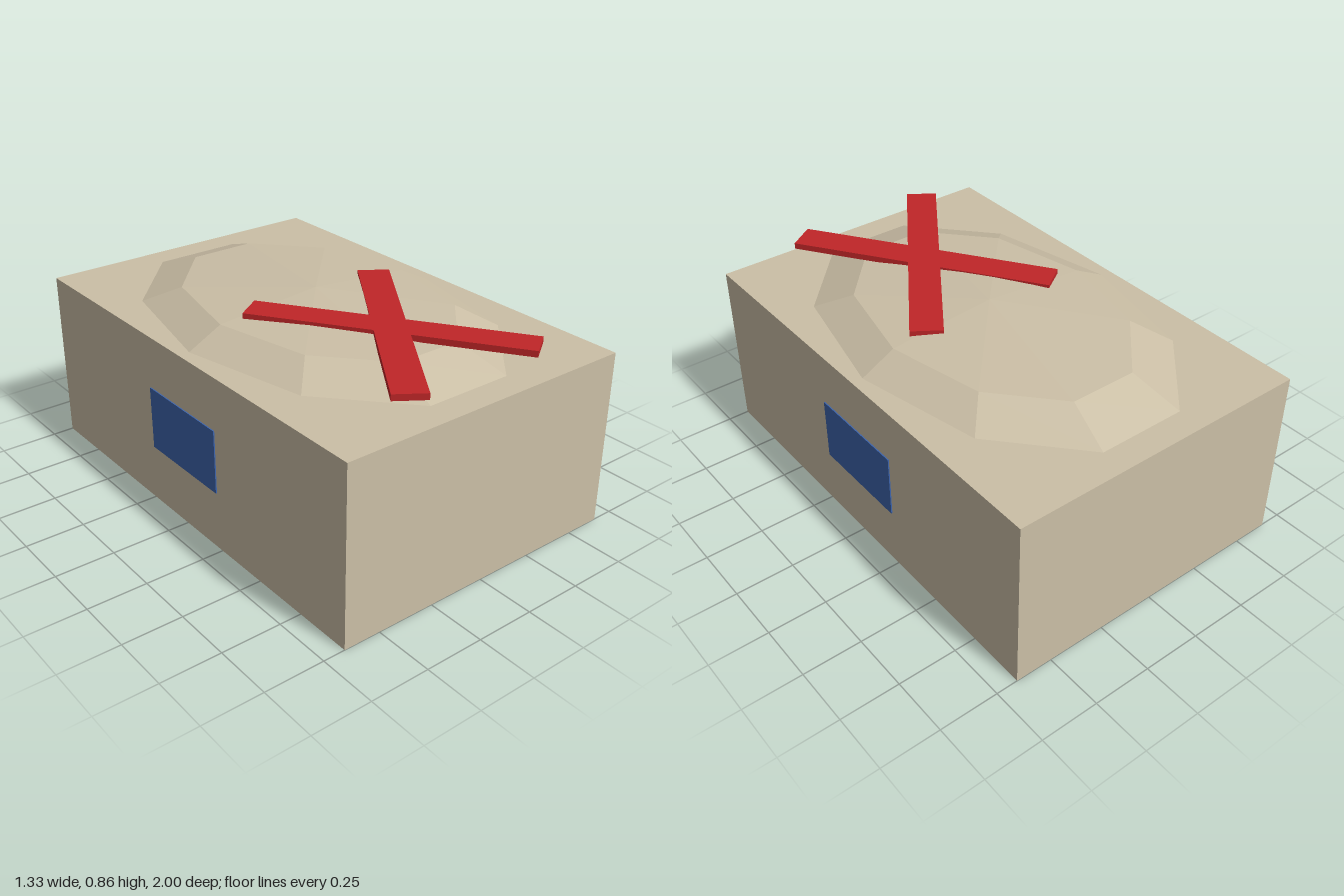
import * as THREE from 'three';

const tan = new THREE.MeshStandardMaterial({ color: 0xcbbfa6, flatShading: true });
const red = new THREE.MeshStandardMaterial({ color: 0xc02628, flatShading: true });
const blue = new THREE.MeshStandardMaterial({ color: 0x3d64ac, flatShading: true });

export function createModel() {
  const group = new THREE.Group();

  const add = (name, geometry, material, x, y, z) => {
    const mesh = new THREE.Mesh(geometry, material);
    mesh.name = name;
    mesh.position.set(x, y, z);
    group.add(mesh);
    return mesh;
  };

  // Main block
  add('base', new THREE.BoxGeometry(1.316, 0.75, 2), tan, 0, 0.375, 0);

  // Low ten-sided mound, stretched lengthwise
  const profile = [[0.61, 0], [0.465, 0.075], [0, 0.114]].map(([r, y]) => new THREE.Vector2(r, y));
  const mound = new THREE.LatheGeometry(profile, 10, Math.PI / 2);
  mound.scale(1, 1, 1.52);
  add('mound', mound, tan, 0, 0.75, 0);

  for (const side of [1, -1]) {
    const label = side > 0 ? 'left' : 'right';

    // Crossed bars lying on the front half of the mound
    const bar = add(label + 'CrossBar', new THREE.BoxGeometry(1.134, 0.026, 0.133), red, 0, 0.842, 0.451);
    bar.rotation.y = side * 0.971;

    // Thin panel on each long side
    add(label + 'Panel', new THREE.BoxGeometry(0.01, 0.272, 0.454), blue, side * 0.658, 0.389, 0);
  }

  return group;
}
